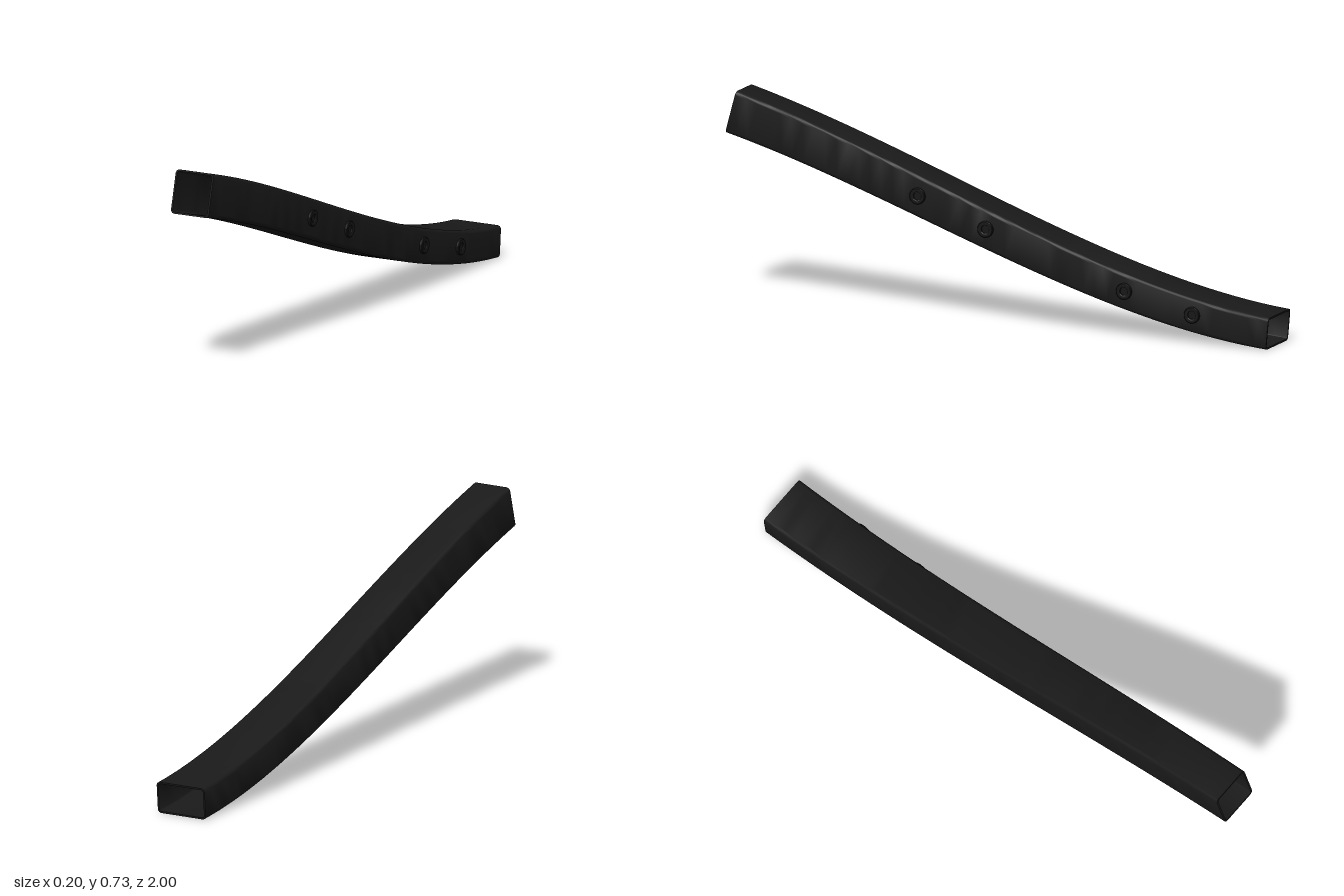
import * as THREE from 'three';
import { toCreasedNormals } from 'three/addons/utils/BufferGeometryUtils.js';

const BACK = { z: -0.995, y: 0.056, slope: 0.09 };
const FRONT = { z: 0.98, y: 0.657, slope: 0.27 };
const LENGTH = FRONT.z - BACK.z;
const CENTRE_X = -0.0033;
const WALL = 0.006;

// Centre line: a gentle S curve running from the back (t = 0) to the front (t = 1)
const frameAt = (t) => {
  const y = (2 * t ** 3 - 3 * t ** 2 + 1) * BACK.y + (t ** 3 - 2 * t ** 2 + t) * BACK.slope * LENGTH
    + (3 * t ** 2 - 2 * t ** 3) * FRONT.y + (t ** 3 - t ** 2) * FRONT.slope * LENGTH;
  const slope = (6 * t ** 2 - 6 * t) * (BACK.y - FRONT.y) / LENGTH
    + (3 * t ** 2 - 4 * t + 1) * BACK.slope + (3 * t ** 2 - 2 * t) * FRONT.slope;
  return {
    y, z: BACK.z + LENGTH * t, angle: Math.atan(slope),
    halfWidth: 0.095 - 0.0225 * t, halfHeight: 0.055 + 0.02 * t,
  };
};

// Rounded rectangle, anticlockwise seen from the front
function section(halfWidth, halfHeight, radius, steps = 5) {
  const points = [];
  [[1, 1], [-1, 1], [-1, -1], [1, -1]].forEach(([sx, sy], corner) => {
    for (let i = 0; i <= steps; i++) {
      const a = (corner + i / steps) * Math.PI / 2;
      points.push([sx * (halfWidth - radius) + radius * Math.cos(a), sy * (halfHeight - radius) + radius * Math.sin(a)]);
    }
  });
  return points;
}

// Hollow tapered tube: rings run forward outside, back inside, and close on themselves
function tubeGeometry(stations = 48) {
  const rings = [];
  const addRing = (t, inset) => {
    const f = frameAt(t);
    rings.push(section(f.halfWidth - inset, f.halfHeight - inset, 0.013 - inset).map(([u, v]) =>
      [CENTRE_X + u, f.y + v * Math.cos(f.angle), f.z - v * Math.sin(f.angle)]));
  };
  for (let i = 0; i <= stations; i++) addRing(i / stations, 0);
  for (let i = stations; i >= 0; i--) addRing(i / stations, WALL);

  const n = rings[0].length, index = [];
  for (let r = 0; r < rings.length; r++) {
    const next = (r + 1) % rings.length;
    for (let i = 0; i < n; i++) {
      const j = (i + 1) % n;
      const a = r * n + i, b = r * n + j, c = next * n + j, d = next * n + i;
      index.push(a, b, c, a, c, d);
    }
  }
  const geometry = new THREE.BufferGeometry();
  geometry.setAttribute('position', new THREE.Float32BufferAttribute(rings.flat(2), 3));
  geometry.setIndex(index);
  return toCreasedNormals(geometry, 0.6);
}

// Round boss with a bevelled rim and a recessed middle, axis along +x
function bossGeometry() {
  const profile = [[0.028, -0.004], [0.028, 0.007], [0.026, 0.009], [0.017, 0.009], [0.014, 0.007], [0.014, 0.002], [0, 0.002]];
  const lathe = new THREE.LatheGeometry(profile.map(([x, y]) => new THREE.Vector2(x, y)), 32);
  lathe.rotateZ(-Math.PI / 2);
  return toCreasedNormals(lathe, 0.5);
}

export function createModel() {
  const model = new THREE.Group();
  model.name = 'curvedTube';

  const black = new THREE.MeshStandardMaterial({ color: 0x1a1a1a });
  black.name = 'black';
  const deepBlack = new THREE.MeshStandardMaterial({ color: 0x161616 });
  deepBlack.name = 'deepBlack';

  const tube = new THREE.Mesh(tubeGeometry(), black);
  tube.name = 'tube';
  model.add(tube);

  // Two pairs of bosses along the left side
  const boss = bossGeometry();
  [0.29, 0.04, -0.47, -0.72].forEach((z, i) => {
    const f = frameAt((z - BACK.z) / LENGTH);
    const mesh = new THREE.Mesh(boss, deepBlack);
    mesh.name = `boss${i + 1}`;
    mesh.position.set(CENTRE_X + f.halfWidth, f.y + 0.003, z);
    model.add(mesh);
  });

  return model;
}
